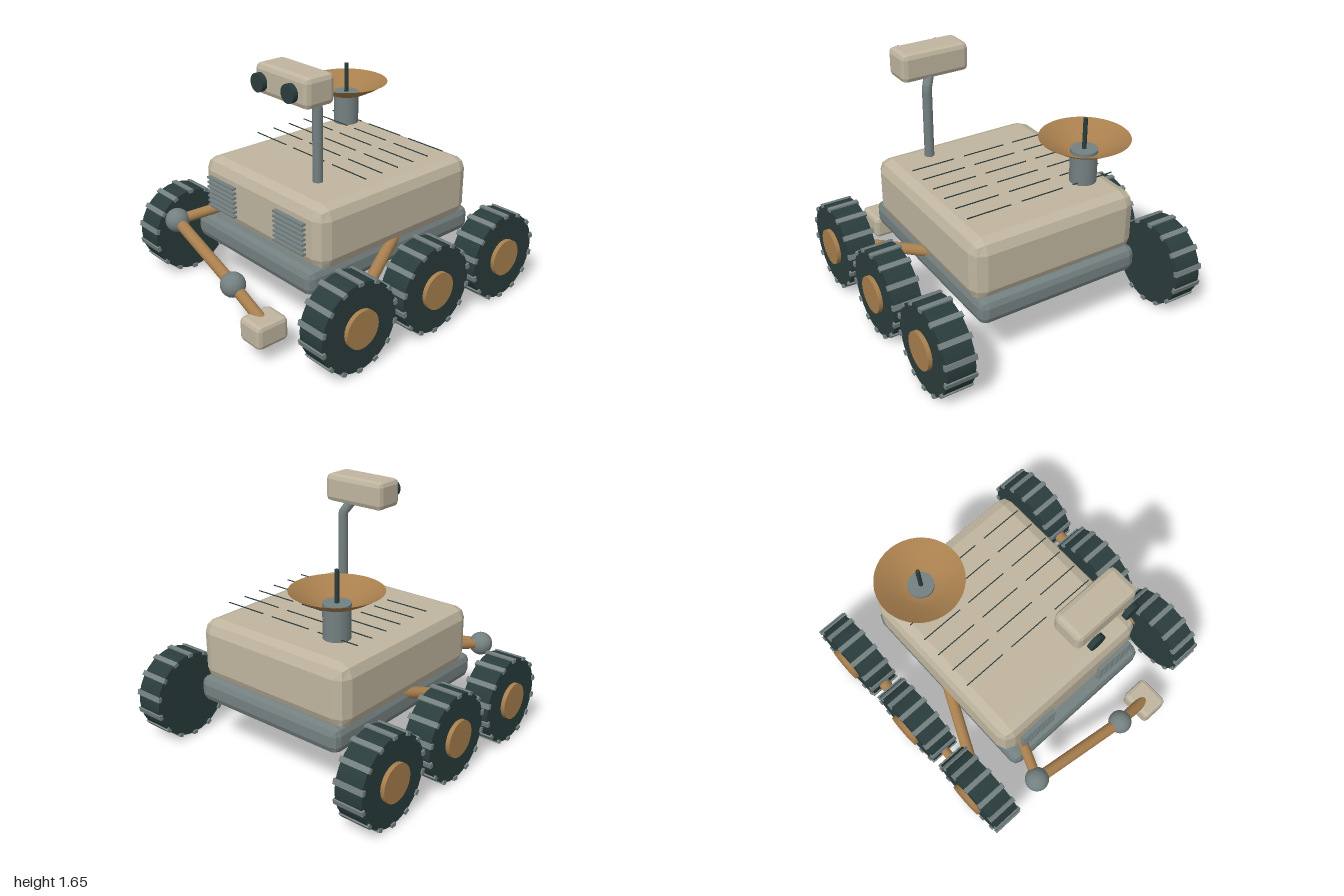
import * as THREE from 'three';
import { RoundedBoxGeometry } from 'three/addons/geometries/RoundedBoxGeometry.js';

function material(name, color, side = THREE.FrontSide) {
  const m = new THREE.MeshStandardMaterial({ color, side });
  m.name = name;
  return m;
}

export function createModel() {
  const model = new THREE.Group();
  model.name = 'rover';
  const cream = material('cream panel', 0xbfb59f);
  const grey = material('grey metal', 0x748080);
  const dark = material('dark rubber', 0x2a3c3c);
  const gold = material('gold metal', 0xa87f4e, THREE.DoubleSide);

  function add(name, geometry, mat, x = 0, y = 0, z = 0, parent = model) {
    const mesh = new THREE.Mesh(geometry, mat);
    mesh.name = name;
    mesh.position.set(x, y, z);
    parent.add(mesh);
    return mesh;
  }

  // Box with faceted, bevelled edges
  function bevelBox(name, mat, size, pos, bevel) {
    const g = new RoundedBoxGeometry(...size, 1, bevel);
    g.computeVertexNormals();
    return add(name, g, mat, ...pos);
  }

  // Round bar between two points
  function rod(name, mat, from, to, radius) {
    const a = new THREE.Vector3(...from);
    const b = new THREE.Vector3(...to);
    const dir = b.clone().sub(a);
    const mesh = add(name, new THREE.CylinderGeometry(radius, radius, dir.length(), 16), mat);
    mesh.position.copy(a).add(b).multiplyScalar(0.5);
    mesh.quaternion.setFromUnitVectors(new THREE.Vector3(0, 1, 0), dir.normalize());
    return mesh;
  }

  // Hull and chassis
  bevelBox('hull', cream, [1.18, 0.42, 1.3], [0, 0.69, -0.085], 0.085);
  bevelBox('chassis', grey, [1.15, 0.17, 1.42], [0, 0.437, -0.067], 0.05);

  // Front vents
  for (const x of [-0.338, 0.338]) {
    for (let i = 0; i < 7; i++) {
      add('ventSlat', new THREE.BoxGeometry(0.275, 0.014, 0.03), grey, x, 0.595 + i * 0.0325, 0.598);
    }
  }

  // Deck seams
  for (const x of [-0.38, -0.005, 0.372]) {
    for (let i = 0; i < 6; i++) {
      add('deckSeam', new THREE.BoxGeometry(0.302, 0.005, 0.006), dark, x, 0.967, -0.533 + i * 0.136);
    }
  }

  // Wheels with lugs and outer hubs, plus suspension, on both sides
  const wheelY = 0.305;
  const wheelX = 0.84;
  const axles = [0.575, -0.065, -0.705];
  const tyre = new THREE.CylinderGeometry(0.288, 0.288, 0.19, 32).rotateZ(Math.PI / 2);
  const hub = new THREE.CylinderGeometry(0.122, 0.122, 0.04, 28).rotateZ(Math.PI / 2);
  const lug = new THREE.BoxGeometry(0.212, 0.024, 0.034);
  const lugs = 14;
  for (const s of [-1, 1]) {
    for (const z of axles) {
      const wheel = new THREE.Group();
      wheel.name = 'wheel';
      wheel.position.set(s * wheelX, wheelY, z);
      model.add(wheel);
      add('tyre', tyre, dark, 0, 0, 0, wheel);
      add('hub', hub, gold, s * 0.103, 0, 0, wheel);
      for (let i = 0; i < lugs; i++) {
        const a = (i / lugs) * Math.PI * 2;
        const mesh = add('lug', lug, grey, 0, Math.cos(a) * 0.285, Math.sin(a) * 0.285, wheel);
        mesh.rotation.x = a;
      }
    }
    const [front, middle, rear] = axles.map((z) => [s * wheelX, wheelY, z]);
    rod('rockerArm', gold, [s * 0.53, 0.5, -0.1], front, 0.038);
    rod('frontBogie', gold, front, middle, 0.03);
    rod('rearBogie', gold, middle, rear, 0.04);
  }

  // Bent mast
  const mastPath = new THREE.CurvePath();
  const mastPoints = [[0.3, 0.935, 0.335], [0.3, 1.4, 0.335], [0.297, 1.42, 0.338], [0.235, 1.53, 0.4]]
    .map((p) => new THREE.Vector3(...p));
  for (let i = 0; i < 3; i++) mastPath.add(new THREE.LineCurve3(mastPoints[i], mastPoints[i + 1]));
  add('mast', new THREE.TubeGeometry(mastPath, 40, 0.032, 16), grey);
  add('mastFoot', new THREE.CircleGeometry(0.032, 16).rotateX(Math.PI / 2), grey, 0.3, 0.935, 0.335);

  // Camera head and lenses
  bevelBox('cameraHead', cream, [0.472, 0.192, 0.218], [0.223, 1.562, 0.443], 0.035);
  const lens = new THREE.CylinderGeometry(0.057, 0.057, 0.034, 28).rotateX(Math.PI / 2);
  for (const x of [0.085, 0.36]) add('lens', lens, dark, x, 1.563, 0.595);

  // Dish antenna
  const dishX = -0.34;
  const dishZ = -0.488;
  add('dishPedestal', new THREE.CylinderGeometry(0.086, 0.086, 0.22, 28), grey, dishX, 1.06, dishZ);
  const dishProfile = [[0.03, 1.145], [0.09, 1.148], [0.14, 1.167], [0.21, 1.202], [0.285, 1.248]]
    .map(([r, y]) => new THREE.Vector2(r, y));
  add('dish', new THREE.LatheGeometry(dishProfile, 40), gold, dishX, 0, dishZ);
  rod('dishFeed', dark, [dishX, 1.15, dishZ], [dishX, 1.373, dishZ], 0.014);

  // Jointed arm with a tool on the end
  const shoulder = [-0.43, 0.575, 0.52];
  const elbow = [-0.543, 0.522, 0.815];
  const wrist = [0.16, 0.374, 0.892];
  const tool = [0.435, 0.196, 0.877];
  rod('armMount', gold, shoulder, elbow, 0.034);
  rod('upperArm', gold, elbow, wrist, 0.038);
  rod('forearm', gold, wrist, [0.42, 0.24, 0.88], 0.037);
  const joint = new THREE.SphereGeometry(0.079, 24, 16);
  add('elbowJoint', joint, grey, ...elbow);
  add('wristJoint', joint, grey, ...wrist);
  bevelBox('toolHead', cream, [0.192, 0.156, 0.226], tool, 0.028);

  return model;
}
